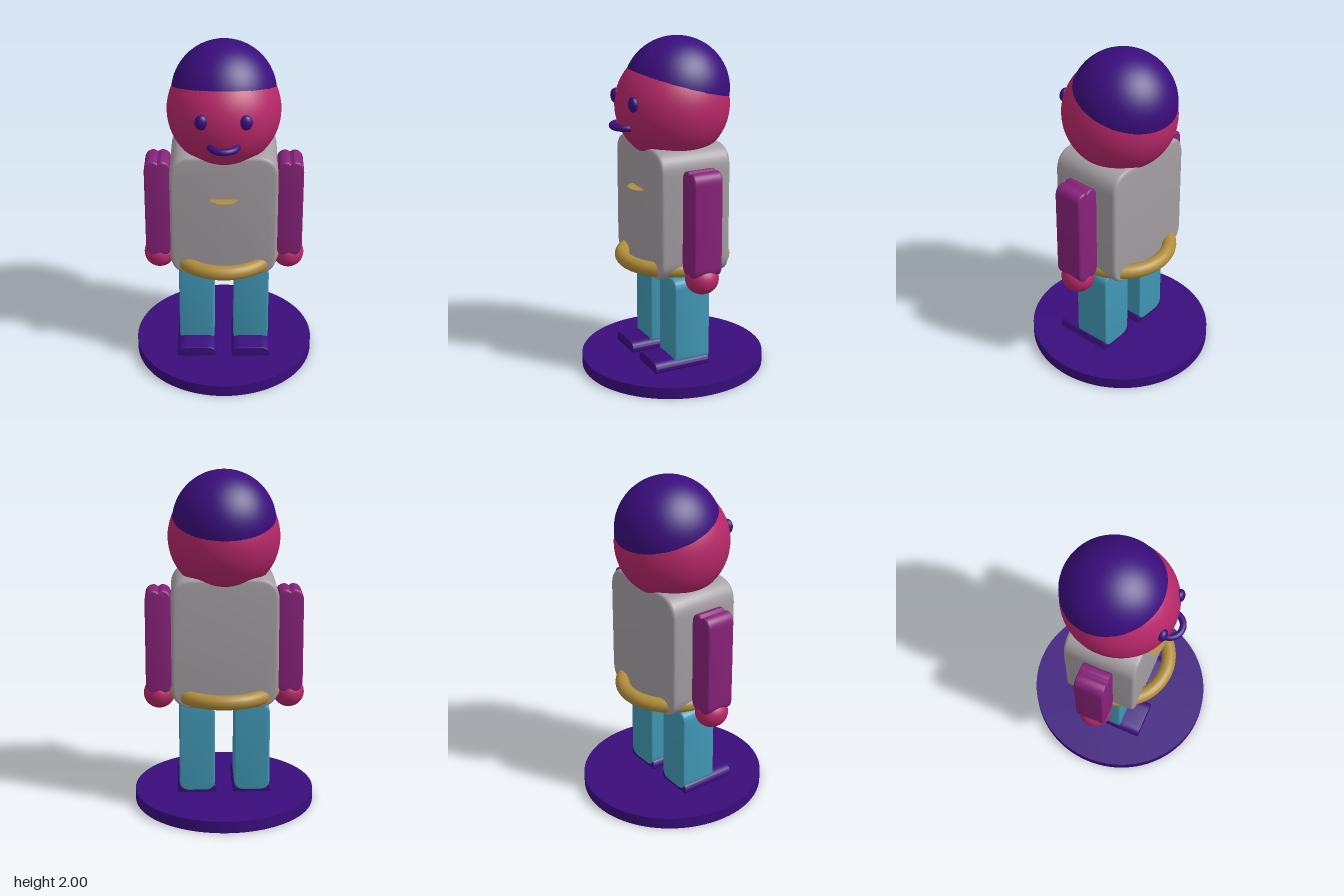
import * as THREE from 'three';
import { toCreasedNormals } from 'three/addons/utils/BufferGeometryUtils.js';

const mat = (name, color) => {
  const m = new THREE.MeshStandardMaterial({ color });
  m.name = name;
  return m;
};

export function createModel() {
  const purple = mat('deep purple', 0x3a0d7c);
  const skin = mat('raspberry skin', 0xb62768);
  const grey = mat('shirt grey', 0xa59fa4);
  const magenta = mat('sleeve magenta', 0x88227a);
  const blue = mat('trouser blue', 0x429ab8);
  const gold = mat('gold', 0xb08d3a);
  const goldPlate = mat('gold plate', 0xb08d3a);
  goldPlate.side = THREE.DoubleSide;

  const model = new THREE.Group();
  model.name = 'figurine';

  const add = (name, geometry, material, x, y, z) => {
    const mesh = new THREE.Mesh(geometry, material);
    mesh.name = name;
    mesh.position.set(x, y, z);
    model.add(mesh);
    return mesh;
  };

  const ellipsoid = (rx, ry, rz, seg = 48) =>
    new THREE.SphereGeometry(1, seg, seg / 2).scale(rx, ry, rz);

  // Rounded slab centred on its origin; notch dents the middle of both ends
  const slab = (width, height, depth, rx, ry, notch = 0, bevel = 0.01) => {
    const w = width / 2 - bevel, h = height / 2 - bevel;
    const s = new THREE.Shape();
    s.moveTo(w, -h + ry);
    s.lineTo(w, h - ry);
    s.quadraticCurveTo(w, h, w - rx, h);
    if (notch) s.lineTo(0, h - notch);
    s.lineTo(-w + rx, h);
    s.quadraticCurveTo(-w, h, -w, h - ry);
    s.lineTo(-w, -h + ry);
    s.quadraticCurveTo(-w, -h, -w + rx, -h);
    if (notch) s.lineTo(0, -h + notch);
    s.lineTo(w - rx, -h);
    s.quadraticCurveTo(w, -h, w, -h + ry);
    const inner = depth - 2 * bevel;
    const g = new THREE.ExtrudeGeometry(s, {
      depth: inner, bevelSize: bevel, bevelThickness: bevel, bevelSegments: 3, curveSegments: 10,
    });
    g.translate(0, 0, -inner / 2);
    return toCreasedNormals(g, 0.6);
  };

  // Round stand
  add('base', new THREE.CylinderGeometry(1, 1, 0.07, 96).scale(0.535, 1, 0.55), purple, 0, 0.035, 0);

  // Head and cap of hair
  add('head', ellipsoid(0.325, 0.328, 0.334, 64), skin, 0, 1.61, 0);
  add('hair', ellipsoid(0.3, 0.302, 0.308, 64), purple, 0, 1.698, -0.028);

  // Mouth: half ring curving out of the face
  const mouth = new THREE.TorusGeometry(0.076, 0.019, 16, 32, Math.PI).rotateX(Math.PI / 2);
  add('mouth', mouth, purple, 0, 1.517, 0.295);

  // Torso, belt and small chest badge
  add('torso', slab(0.62, 0.77, 0.435, 0.11, 0.11, 0, 0.018), grey, 0, 1.02, 0);
  const belt = new THREE.TorusGeometry(0.3, 0.043, 20, 72).rotateX(Math.PI / 2).scale(0.975, 1, 1);
  add('belt', belt, gold, 0, 0.698, 0);
  const badge = new THREE.CircleGeometry(1, 24, Math.PI, Math.PI).scale(0.08, 0.06, 1).rotateX(-Math.PI / 2);
  add('chestBadge', badge, goldPlate, 0, 1.14, 0.216);

  // Paired parts
  for (const [side, s] of [['left', 1], ['right', -1]]) {
    add(`${side}Eye`, ellipsoid(0.037, 0.044, 0.028, 24), purple, s * 0.122, 1.664, 0.301);
    add(`${side}Arm`, slab(0.155, 0.62, 0.177, 0.045, 0.06, 0.014), magenta, s * 0.384, 1.0, 0);
    add(`${side}Hand`, ellipsoid(0.093, 0.09, 0.098, 40), skin, s * 0.384, 0.667, 0);
    add(`${side}Leg`, slab(0.212, 0.54, 0.225, 0.05, 0.05), blue, s * 0.163, 0.353, 0);
    add(`${side}Shoe`, slab(0.236, 0.085, 0.35, 0.055, 0.04, 0, 0.006), purple, s * 0.163, 0.088, 0.068);
  }
  return model;
}
